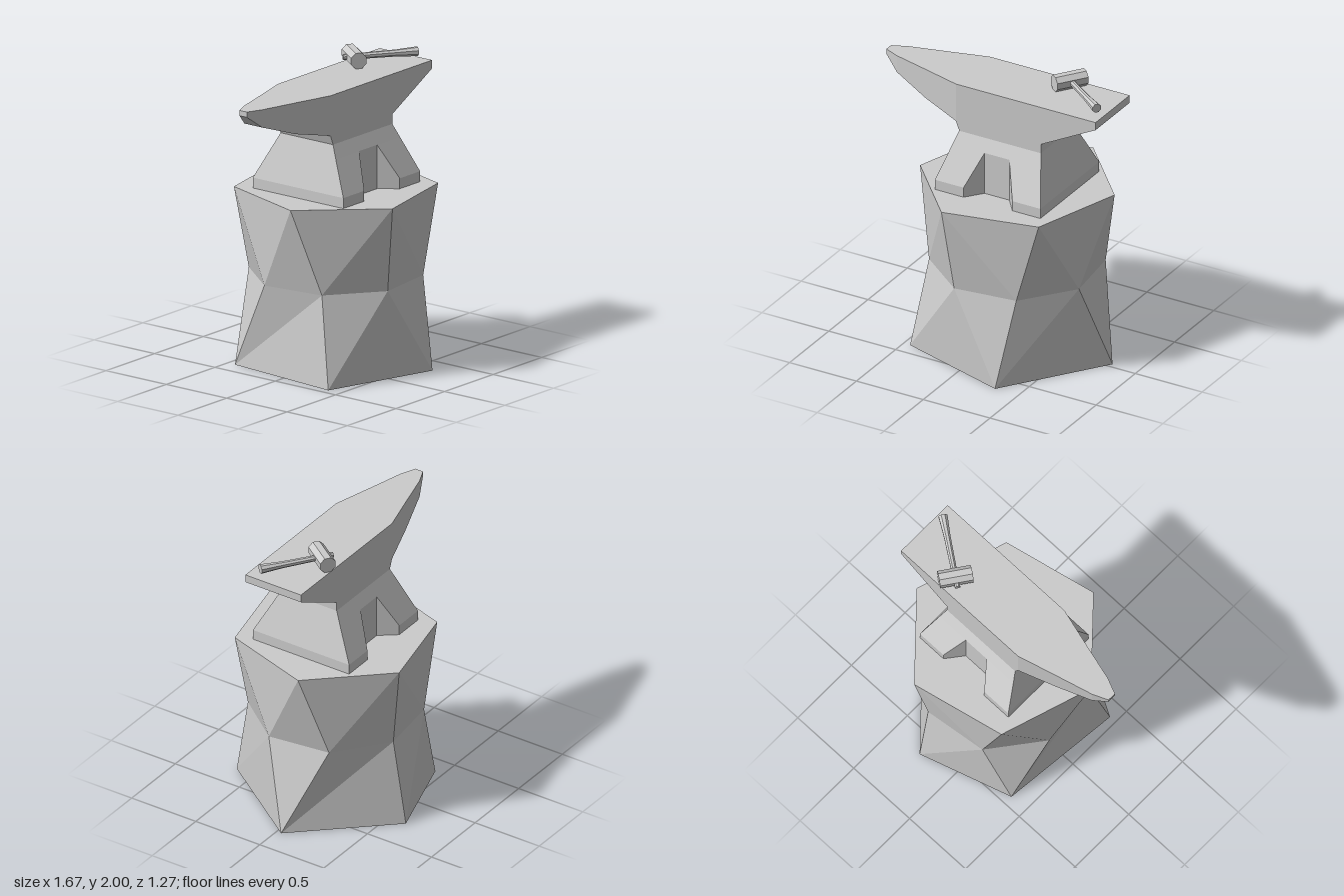
import * as THREE from 'three';

const rad = THREE.MathUtils.degToRad;

// Flat-shaded geometry from a list of corner points, three per triangle
function facets(points) {
  const g = new THREE.BufferGeometry();
  g.setAttribute('position', new THREE.Float32BufferAttribute(points.flat(), 3));
  g.computeVertexNormals();
  return g;
}

function flat(geometry) {
  const g = geometry.toNonIndexed();
  g.computeVertexNormals();
  return g;
}

function fan(ring, reversed) {
  const out = [];
  for (let i = 1; i < ring.length - 1; i++) {
    out.push(ring[0], ...(reversed ? [ring[i + 1], ring[i]] : [ring[i], ring[i + 1]]));
  }
  return out;
}

// Joins rings with equal numbers of corners and closes both ends
function loft(rings, capped) {
  const out = [];
  for (let k = 0; k < rings.length - 1; k++) {
    const a = rings[k], b = rings[k + 1], n = a.length;
    for (let i = 0; i < n; i++) {
      const j = (i + 1) % n;
      out.push(a[i], a[j], b[j], a[i], b[j], b[i]);
    }
  }
  if (capped) out.push(...fan(rings[0], true), ...fan(rings.at(-1), false));
  return facets(out);
}

// Joins rings with different numbers of corners, stepping by angle
function stitch(low, up) {
  const out = [];
  const angle = (r, i) => r.angles[i % r.angles.length] - 360 * Math.floor(i / r.angles.length);
  const at = (r, i) => r.points[i % r.points.length];
  const n = low.points.length, m = up.points.length;
  let i = 0, j = 0;
  while (i < n || j < m) {
    if (j >= m || (i < n && angle(low, i + 1) > angle(up, j + 1))) {
      out.push(at(low, i), at(low, i + 1), at(up, j));
      i++;
    } else {
      out.push(at(low, i), at(up, j + 1), at(up, j));
      j++;
    }
  }
  return out;
}

// Stump ring: y, angles and radii around the stump's own centre
function stumpRing(y, angles, radii) {
  const points = angles.map((a, i) => [
    0.12 + radii[i] * Math.cos(rad(a)), y, 0.004 + radii[i] * Math.sin(rad(a))]);
  return { angles, points };
}

const evenAngles = (start, n) => Array.from({ length: n }, (_, i) => start - (360 / n) * i);

export function createModel() {
  const model = new THREE.Group();
  const grey = new THREE.MeshStandardMaterial({ color: 0xcccccc });
  grey.name = 'grey';
  const add = (parent, name, geometry) => {
    const mesh = new THREE.Mesh(geometry, grey);
    mesh.name = name;
    parent.add(mesh);
    return mesh;
  };

  // Stump: five-sided foot, eight-sided waist, six-sided top
  const foot = stumpRing(0, [145.3, 72.1, -3.3, -77.7, -138], [0.694, 0.667, 0.69, 0.655, 0.66]);
  const waist = stumpRing(0.6, evenAngles(150.3, 8), Array(8).fill(0.57));
  const top = stumpRing(1.18, evenAngles(167.6, 6), Array(6).fill(0.66));
  add(model, 'stump', facets([
    ...stitch(foot, waist), ...stitch(waist, top),
    ...fan(foot.points, true), ...fan(top.points, false)]));

  const anvil = new THREE.Group();
  anvil.name = 'anvil';
  anvil.position.z = 0.008;
  model.add(anvil);

  // Anvil body and horn: x, underside height, half width
  const stations = [
    [-0.84, 1.86, 0.03], [-0.735, 1.775, 0.075], [-0.48, 1.685, 0.143],
    [-0.21, 1.625, 0.217], [0.425, 1.625, 0.217], [0.835, 1.84, 0.217]];
  add(anvil, 'anvilBody', loft(stations.map(([x, y, w]) => [
    [x, 1.895, -w], [x, 1.895, w], [x, y, w], [x, y, -w]]), true));

  // Anvil base: y, left and right edge, half depth, notch mouth edges, notch floor depth
  const levels = [
    [1.18, -0.275, 0.515, 0.375, -0.06, 0.305, 0.26],
    [1.25, -0.275, 0.515, 0.375, -0.06, 0.305, 0.26],
    [1.475, -0.21, 0.45, 0.26, 0.03, 0.215, 0.26],
    [1.56, -0.185, 0.425, 0.217, 0.03, 0.215, 0.217],
    [1.625, -0.21, 0.425, 0.217, 0.03, 0.215, 0.217]];
  add(anvil, 'anvilBase', loft(levels.map(([y, x0, x1, d, m0, m1, f]) => {
    const front = [[x0, d], [m0, d], [0.03, f], [0.215, f], [m1, d], [x1, d]];
    const back = front.map(([x, z]) => [x, -z]).reverse();
    return [...front, ...back].map(([x, z]) => [x, y, z]);
  }), true));

  // Hammer lying on the anvil
  const hammer = new THREE.Group();
  hammer.name = 'hammer';
  hammer.position.set(0.446, 1.948, -0.108);
  hammer.rotation.y = -0.616;
  model.add(hammer);

  const r = 0.0525 / Math.cos(Math.PI / 8);
  add(hammer, 'hammerHead', flat(new THREE.CylinderGeometry(r, r, 0.22, 8)
    .rotateY(Math.PI / 8).rotateX(Math.PI / 2)));
  const profile = [[0, -0.075], [0.019, -0.075], [0.02, 0.05], [0.023, 0.28], [0.032, 0.425], [0, 0.425]]
    .map(([a, b]) => new THREE.Vector2(a, b));
  add(hammer, 'hammerHandle', flat(new THREE.LatheGeometry(profile, 8)
    .rotateY(Math.PI / 8).rotateZ(-Math.PI / 2)));

  return model;
}
